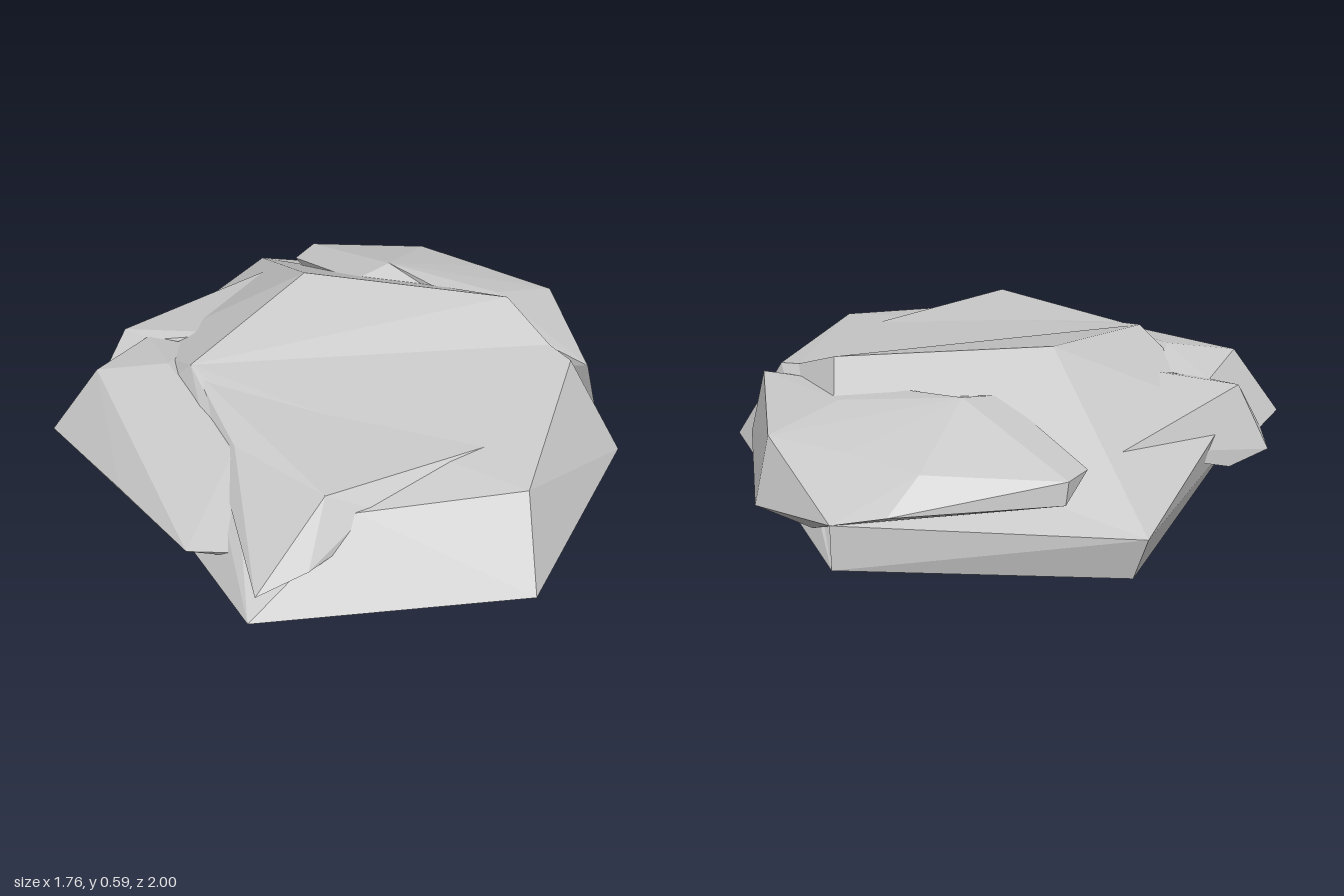
import * as THREE from 'three';
import { ConvexGeometry } from 'three/addons/geometries/ConvexGeometry.js';

// Faceted boulder: overlapping convex chunks of stone, each given by its corners.
const chunks = {
  mainRock: [
    // hexagonal rim and the low point of the underside
    [-0.15, 0.15, 1], [0.57, 0.15, 0.62], [0.87, 0.15, -0.38],
    [0.26, 0.15, -0.95], [-0.72, 0.15, -0.48], [-0.86, 0.15, 0.6], [-0.45, 0, -0.12],
    // lower front slope of the plateau
    [-0.05, 0.385, 0.84], [-0.5, 0.38, 0.62], [-0.63, 0.41, 0.2], [-0.55, 0.5, -0.17],
    [0.48, 0.455, 0.36], [0.49, 0.435, 0.45],
  ],
  peak: [
    [-0.01, 0.59, -0.32], [0.48, 0.54, 0.15], [0.48, 0.455, 0.36], [-0.55, 0.5, -0.17],
    [0.26, 0.29, -1], [-0.5, 0.33, -0.62],
    [0.87, 0.15, -0.38], [0.26, 0.15, -0.95], [-0.72, 0.15, -0.48],
  ],
  backShelf: [
    [0.87, 0.29, -0.38], [0.87, 0.15, -0.38], [0.26, 0.29, -1], [0.26, 0.15, -0.95],
    [0.3, 0.4, -0.4], [0.2, 0.15, -0.3],
  ],
  rightShoulder: [
    [0.6, 0.21, 0.48], [0.88, 0.21, 0], [0.83, 0.21, -0.23], [0.4, 0.21, -0.1],
    [0.54, 0.41, 0.48], [0.81, 0.41, 0.02], [0.72, 0.42, -0.25], [0.57, 0.465, 0],
    [0.49, 0.45, 0.2], [0.35, 0.515, -0.32], [0.87, 0.29, -0.38],
  ],
  backRightShoulder: [
    [0.87, 0.29, -0.38], [0.83, 0.21, -0.23], [0.77, 0.33, -0.51], [0.36, 0.34, -0.78],
    [0.35, 0.41, -0.78], [0.65, 0.42, -0.5], [0.72, 0.42, -0.25], [0.35, 0.515, -0.32],
    [0.24, 0.4, -0.74], [0.21, 0.49, -0.33], [0.57, 0.465, 0], [0.3, 0.2, -0.4],
  ],
  leftShoulder: [
    [-0.88, 0.21, -0.52], [-0.87, 0.21, -0.1], [-0.72, 0.21, -0.58], [-0.64, 0.22, 0.54],
    [-0.86, 0.2, 0.28], [-0.71, 0.26, 0.5], [-0.75, 0.435, -0.42], [-0.63, 0.42, 0.2],
    [-0.5, 0.42, -0.53], [-0.42, 0.43, -0.38], [-0.57, 0.46, -0.28],
  ],
  backLeftShoulder: [
    [-0.6, 0.21, -0.71], [-0.4, 0.21, -0.72], [-0.72, 0.21, -0.58], [-0.54, 0.42, -0.62],
    [0.09, 0.4, -0.72], [-0.28, 0.46, -0.3], [-0.5, 0.42, -0.5], [-0.3, 0.2, -0.3],
  ],
  frontLeftSlab: [
    [-0.82, 0.21, 0.58], [-0.68, 0.27, 0.64], [-0.57, 0.44, 0.57], [0, 0.41, 0.63],
    [-0.45, 0.38, 0.63], [-0.63, 0.43, 0.2], [-0.55, 0.49, -0.15], [-0.3, 0.3, 0.2],
  ],
};

export function createModel() {
  const group = new THREE.Group();
  group.name = 'rock';
  const material = new THREE.MeshStandardMaterial({ color: 0xcccccc, flatShading: true });
  for (const [name, corners] of Object.entries(chunks)) {
    const points = corners.map((p) => new THREE.Vector3(...p));
    const mesh = new THREE.Mesh(new ConvexGeometry(points), material);
    mesh.name = name;
    group.add(mesh);
  }
  return group;
}
